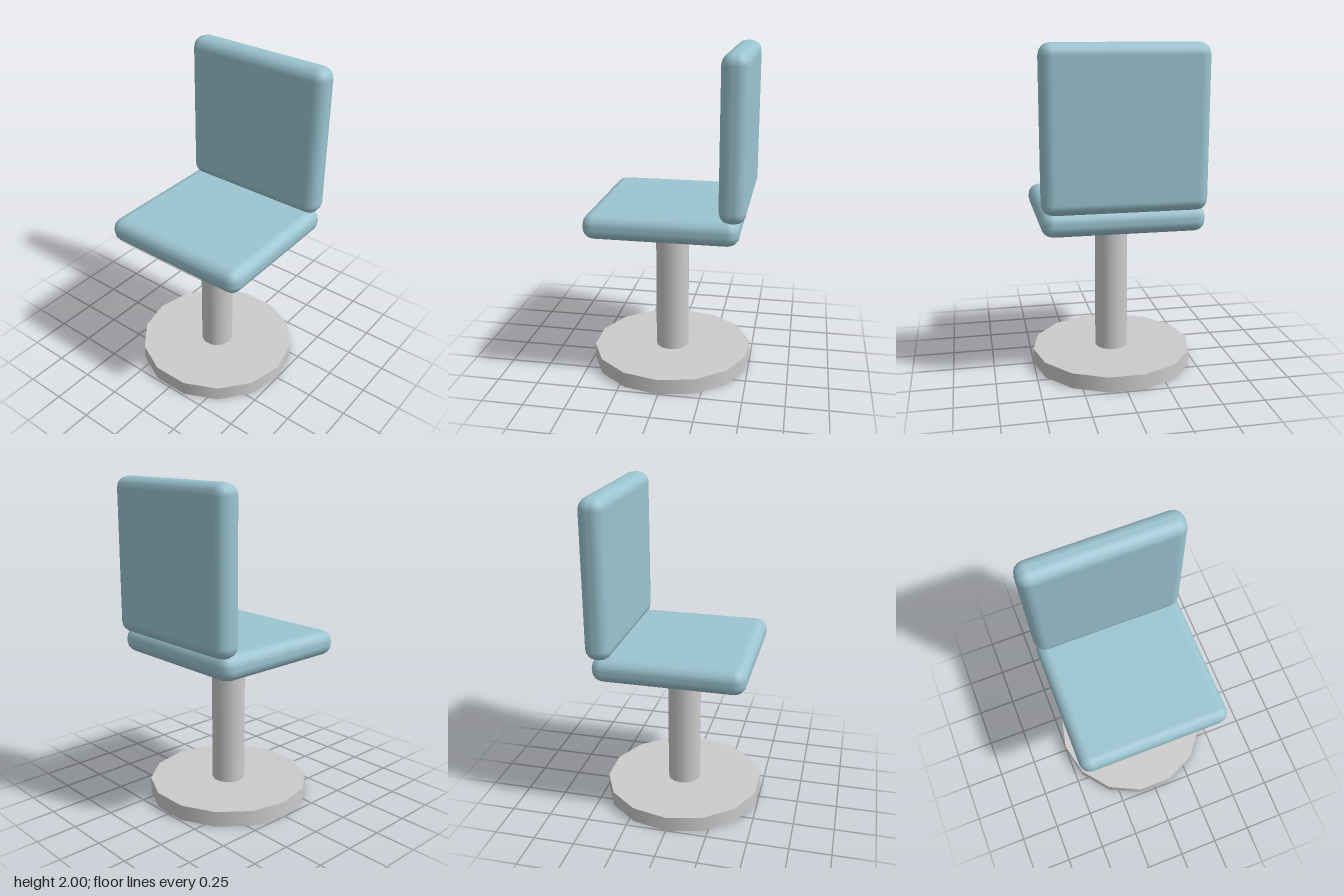
import * as THREE from 'three';
import { RoundedBoxGeometry } from 'three/addons/geometries/RoundedBoxGeometry.js';

const SIDES = 14;

export function createModel() {
  const model = new THREE.Group();
  model.name = 'pedestalChair';

  const metal = new THREE.MeshStandardMaterial({ color: 0xcccccc });
  const fabric = new THREE.MeshStandardMaterial({ color: 0x9bc4d0 });

  // Upright cylinder with corners on the x axis
  function addColumn(name, radius, bottom, top) {
    const geometry = new THREE.CylinderGeometry(radius, radius, top - bottom, SIDES);
    geometry.rotateY(Math.PI / 2);
    const mesh = new THREE.Mesh(geometry, metal);
    mesh.name = name;
    mesh.position.y = (bottom + top) / 2;
    model.add(mesh);
  }

  // Padded slab with softly rounded edges
  function addCushion(name, width, height, depth, y, z) {
    const mesh = new THREE.Mesh(new RoundedBoxGeometry(width, height, depth, 2, 0.068), fabric);
    mesh.name = name;
    mesh.position.set(0, y, z);
    model.add(mesh);
  }

  // Floor disc and post
  addColumn('base', 0.5, 0, 0.095);
  addColumn('post', 0.103, 0.09, 0.97);

  // Seat and backrest
  addCushion('seat', 0.95, 0.152, 0.908, 1.004, 0);
  addCushion('backrest', 0.95, 0.94, 0.157, 1.53, -0.41);

  return model;
}
